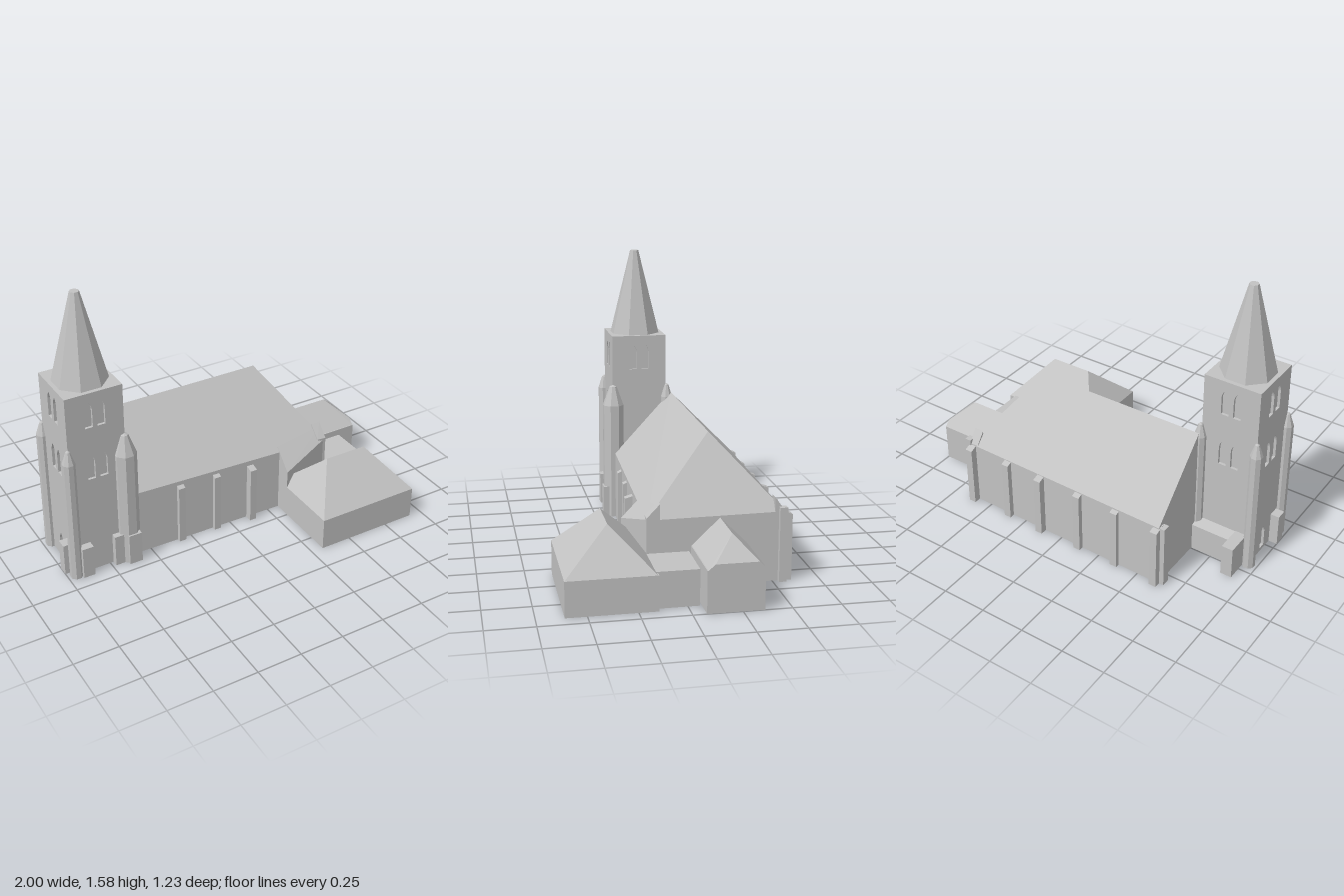
import * as THREE from 'three';
import { ConvexGeometry } from 'three/addons/geometries/ConvexGeometry.js';

export function createModel() {
  const model = new THREE.Group();
  model.name = 'church';
  const stone = new THREE.MeshStandardMaterial({ color: 0xc2c2c2 });
  stone.name = 'grey stone';

  // Helpers: flat-faced mesh, box by limits, convex solid, eight-sided lathe
  const add = (name, geometry, parent = model) => {
    const flat = geometry.index ? geometry.toNonIndexed() : geometry;
    flat.computeVertexNormals();
    const mesh = new THREE.Mesh(flat, stone);
    mesh.name = name;
    parent.add(mesh);
    return mesh;
  };
  const box = (name, x0, x1, y0, y1, z0, z1) =>
    add(name, new THREE.BoxGeometry(x1 - x0, y1 - y0, z1 - z0))
      .position.set((x0 + x1) / 2, (y0 + y1) / 2, (z0 + z1) / 2);
  const solid = (name, pts) =>
    add(name, new ConvexGeometry(pts.map(p => new THREE.Vector3(...p))));
  const octagon = (name, x, z, profile) => {
    const pts = profile.map(p => new THREE.Vector2(...p));
    const mesh = add(name, new THREE.LatheGeometry(pts, 8, Math.PI / 8));
    mesh.position.set(x, 0, z);
  };

  // Tower: solid core with four walls pierced by pointed recesses
  const cx = -0.79, cz = -0.025, half = 0.16, depth = 0.015, towerTop = 1.09;
  const inner = half - depth;
  box('towerCore', cx - inner, cx + inner, 0, towerTop, cz - inner, cz + inner);
  const lancet = (u, y, h) => {
    const w = 0.022, p = new THREE.Path();
    p.moveTo(u - w, y);
    p.lineTo(u + w, y);
    p.lineTo(u + w, y + h * 0.7);
    p.quadraticCurveTo(u + w * 0.8, y + h * 0.88, u, y + h);
    p.quadraticCurveTo(u - w * 0.8, y + h * 0.88, u - w, y + h * 0.7);
    p.closePath();
    return p;
  };
  ['front', 'east', 'back', 'west'].forEach((side, i) => {
    const wall = new THREE.Shape();
    wall.moveTo(-half, 0);
    wall.lineTo(half, 0);
    wall.lineTo(half, towerTop);
    wall.lineTo(-half, towerTop);
    wall.closePath();
    for (const u of [-0.035, 0.035]) {
      wall.holes.push(lancet(u, 0.89, 0.15));
      if (side !== 'east') wall.holes.push(lancet(u, 0.58, 0.15));
    }
    if (side === 'west') wall.holes.push(lancet(-0.02, 0.02, 0.14));
    const geo = new THREE.ExtrudeGeometry(wall, { depth, bevelEnabled: false, curveSegments: 4 });
    geo.translate(0, 0, inner);
    const mesh = add(side + 'TowerWall', geo);
    mesh.position.set(cx, 0, cz);
    mesh.rotation.y = i * Math.PI / 2;
  });

  // Spire
  octagon('spire', cx, cz, [[0.148, towerTop], [0.025, 1.58], [0, 1.58]]);

  // Corner piers with pointed caps, and the larger stair turret
  const pier = [[0.035, 0], [0.035, 0.72], [0.012, 0.79], [0, 0.8]];
  for (const [x, z] of [[-0.952, 0.14], [-0.952, -0.19], [-0.625, -0.19]])
    octagon('cornerPier', x, z, pier);
  octagon('stairTurret', -0.632, 0.132, [[0.063, 0], [0.063, 0.68], [0.022, 0.79], [0, 0.8]]);

  // Low blocks around the tower foot
  box('towerFootBack', -0.925, -0.86, 0, 0.185, -0.33, -0.18);
  box('towerFootFront', -0.925, -0.86, 0, 0.185, 0.12, 0.18);
  box('towerFootWest', -1, -0.94, 0, 0.185, 0.04, 0.1);
  box('towerFootInner', -0.73, -0.67, 0, 0.185, 0.12, 0.17);
  box('turretFoot', -0.66, -0.585, 0, 0.185, 0.12, 0.2);
  solid('lowPorch', [-0.87, -0.58].flatMap(x => [
    [x, 0, -0.245], [x, 0, -0.16], [x, 0.16, -0.245], [x, 0.19, -0.16]]));

  // Nave with a ridge roof, hipped at the east end
  const ridgeZ = -0.215, ridgeY = 0.745;
  solid('nave', [
    [-0.63, 0, -0.583], [-0.63, 0.372, -0.583], [-0.63, ridgeY, ridgeZ],
    [-0.63, 0, ridgeZ], [-0.58, 0, 0.13], [-0.58, 0.392, 0.13],
    [-0.58, ridgeY, ridgeZ], [0.365, ridgeY, ridgeZ],
    [0.63, 0, -0.563], [0.63, 0.372, -0.563], [0.63, 0, 0.16], [0.63, 0.365, 0.16]]);

  // Raised roof corners beside the hip
  for (const [z, eave] of [[-0.51, -0.563], [0.09, 0.16]])
    solid('roofCorner', [
      [0.575, 0.448, z], [0.63, 0.448, z], [0.63, 0.34, z], [0.575, 0.34, z],
      [0.575, 0.378, eave], [0.63, 0.375, eave], [0.63, 0.34, eave]]);

  // Roof sweeping down between nave and hall
  solid('sideAisle', [
    [0.32, 0.4, 0.13], [0.32, 0.285, 0.24], [0.37, 0.315, 0.21], [0.63, 0.37, 0.155],
    [0.63, 0.43, 0.1], [0.32, 0.1, 0.13], [0.32, 0.1, 0.24], [0.63, 0.1, 0.155],
    [0.63, 0.1, 0.1]]);

  // Buttresses along both long walls, with sloped tops
  const buttress = (x, w, wall, out, h) =>
    solid('buttress', [x - w / 2, x + w / 2].flatMap(px => [
      [px, 0, wall], [px, 0, out], [px, h - 0.02, out], [px, h, wall]]));
  [[-0.312, 0.16, 0.37], [-0.09, 0.165, 0.37], [0.128, 0.19, 0.355]].forEach(
    ([x, out, h]) => buttress(x, 0.04, 0.12, out, h));
  [[-0.615, -0.615], [-0.36, -0.603], [-0.12, -0.603],
    [0.132, -0.61], [0.36, -0.597], [0.61, -0.603]].forEach(
    ([x, out]) => buttress(x, 0.042, -0.55, out, 0.375));
  box('westCornerButtress', -0.662, -0.62, 0, 0.37, -0.58, -0.535);
  box('eastCornerButtress', 0.62, 0.657, 0, 0.4, -0.57, -0.53);

  // Hall with a hipped roof
  box('hallWalls', 0.32, 0.925, 0, 0.185, 0.15, 0.61);
  solid('hallRoof', [
    [0.32, 0.185, 0.61], [0.925, 0.185, 0.61], [0.925, 0.185, 0.155],
    [0.32, 0.185, 0.155], [0.49, 0.4, 0.375], [0.74, 0.4, 0.375]]);

  // Flat-roofed link and the small east annex
  box('linkBlock', 0.6, 0.89, 0, 0.19, -0.06, 0.17);
  box('annexWalls', 0.6, 1, 0, 0.22, -0.36, -0.07);
  solid('annexRoof', [
    [0.6, 0.22, -0.36], [1, 0.22, -0.36], [1, 0.22, -0.075], [0.6, 0.22, -0.075],
    [0.6, 0.36, -0.22], [0.88, 0.36, -0.22], [1, 0.25, -0.33], [1, 0.25, -0.11]]);

  return model;
}
